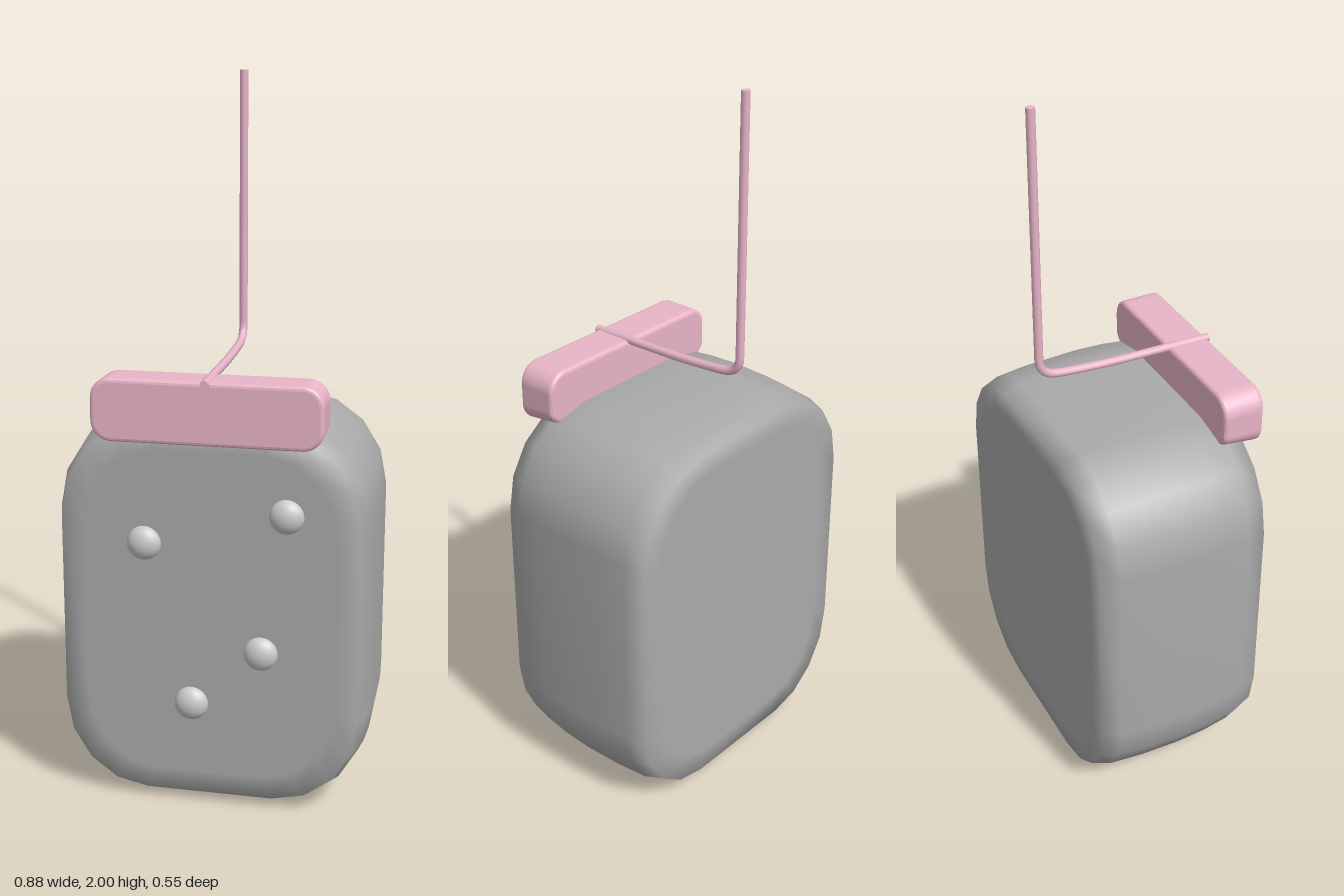
import * as THREE from 'three';

const mat = (color) => new THREE.MeshStandardMaterial({ color });

function addMesh(group, name, geometry, material) {
  const mesh = new THREE.Mesh(geometry, material);
  mesh.name = name;
  group.add(mesh);
  return mesh;
}

// Rounded slab: one outline repeated front to back with varying inset
function bodyGeometry() {
  const hw = 0.44, hh = 0.555, rx = 0.25, ry = 0.27, steps = 4;
  const outline = [];
  for (let q = 0; q < 4; q++) {
    const sx = q === 0 || q === 3 ? 1 : -1, sy = q < 2 ? 1 : -1;
    for (let k = 0; k <= steps; k++) {
      const a = (q + k / steps) * Math.PI / 2;
      outline.push([sx * (hw - rx) + rx * Math.cos(a), sy * (hh - ry) + ry * Math.sin(a)]);
    }
  }
  // [z, inset]
  const rings = [
    [-0.275, 0.09], [-0.275, 0.028], [-0.22, 0.011], [-0.12, 0.003], [0, 0],
    [0.09, 0.003], [0.17, 0.011], [0.225, 0.028], [0.225, 0.09],
  ];
  const n = outline.length, pos = [], idx = [];
  for (const [z, inset] of rings)
    for (const [x, y] of outline)
      pos.push(x * (1 - inset / hw), hh + y * (1 - inset / hh), z);
  const back = rings.length * n, front = back + 1, last = (rings.length - 1) * n;
  pos.push(0, hh, -0.275, 0, hh, 0.225);
  for (let j = 0; j < n; j++) {
    const k = (j + 1) % n;
    for (let i = 0; i < rings.length - 1; i++) {
      const a = i * n + j, b = i * n + k;
      idx.push(a, b, b + n, a, b + n, a + n);
    }
    idx.push(k, j, back, last + j, last + k, front);
  }
  const g = new THREE.BufferGeometry();
  g.setAttribute('position', new THREE.Float32BufferAttribute(pos, 3));
  g.setIndex(idx);
  g.computeVertexNormals();
  return g;
}

// Rounded bar with a slightly raised rear underside
function barGeometry() {
  const bevel = 0.012, w = 0.315 - bevel, h = 0.0875 - bevel, r = 0.045;
  const s = new THREE.Shape();
  s.absarc(w - r, h - r, r, 0, Math.PI / 2);
  s.absarc(-w + r, h - r, r, Math.PI / 2, Math.PI);
  s.absarc(-w + r, -h + r, r, Math.PI, Math.PI * 1.5);
  s.absarc(w - r, -h + r, r, Math.PI * 1.5, Math.PI * 2);
  const g = new THREE.ExtrudeGeometry(s, {
    depth: 0.12 - 2 * bevel, bevelEnabled: true, bevelSize: bevel,
    bevelThickness: bevel, bevelSegments: 3, curveSegments: 6,
  });
  g.translate(0, 1.1325, 0.145 + bevel);
  const p = g.attributes.position;
  for (let i = 0; i < p.count; i++) {
    const low = THREE.MathUtils.clamp((1.1325 - p.getY(i)) / 0.0875, 0, 1);
    p.setY(i, p.getY(i) + 0.02 * low * (0.265 - p.getZ(i)) / 0.12);
  }
  g.computeVertexNormals();
  return g;
}

export function createModel() {
  const group = new THREE.Group();
  const pink = mat(0xe8b4c8), white = mat(0xeeeeee);

  addMesh(group, 'body', bodyGeometry(), mat(0xaaaaaa));
  addMesh(group, 'topBar', barGeometry(), pink);

  // Cord: runs back over the body, then bends straight up
  const v = (y, z) => new THREE.Vector3(0, y, z);
  const path = new THREE.CurvePath();
  path.add(new THREE.LineCurve3(v(1.215, 0.272), v(1.222, 0)));
  path.add(new THREE.QuadraticBezierCurve3(v(1.222, 0), v(1.226, -0.1), v(1.236, -0.19)));
  path.add(new THREE.QuadraticBezierCurve3(v(1.236, -0.19), v(1.243, -0.24), v(1.285, -0.243)));
  path.add(new THREE.LineCurve3(v(1.285, -0.243), v(2, -0.241)));
  addMesh(group, 'cord', new THREE.TubeGeometry(path, 80, 0.012, 10), pink);
  const capGeometry = new THREE.CircleGeometry(0.012, 10);
  addMesh(group, 'cordFrontCap', capGeometry, pink).position.set(0, 1.215, 0.272);
  const topCap = addMesh(group, 'cordTopCap', capGeometry, pink);
  topCap.position.set(0, 2, -0.241);
  topCap.rotation.x = -Math.PI / 2;

  // Domed studs on the front face
  const studGeometry = new THREE.SphereGeometry(0.048, 24, 16);
  [[-0.18, 0.757], [0.213, 0.856], [0.145, 0.46], [-0.05, 0.297]].forEach(([x, y], i) => {
    const stud = addMesh(group, `stud${i + 1}`, studGeometry, white);
    stud.position.set(x, y, 0.223);
    stud.scale.z = 0.7;
  });
  return group;
}
